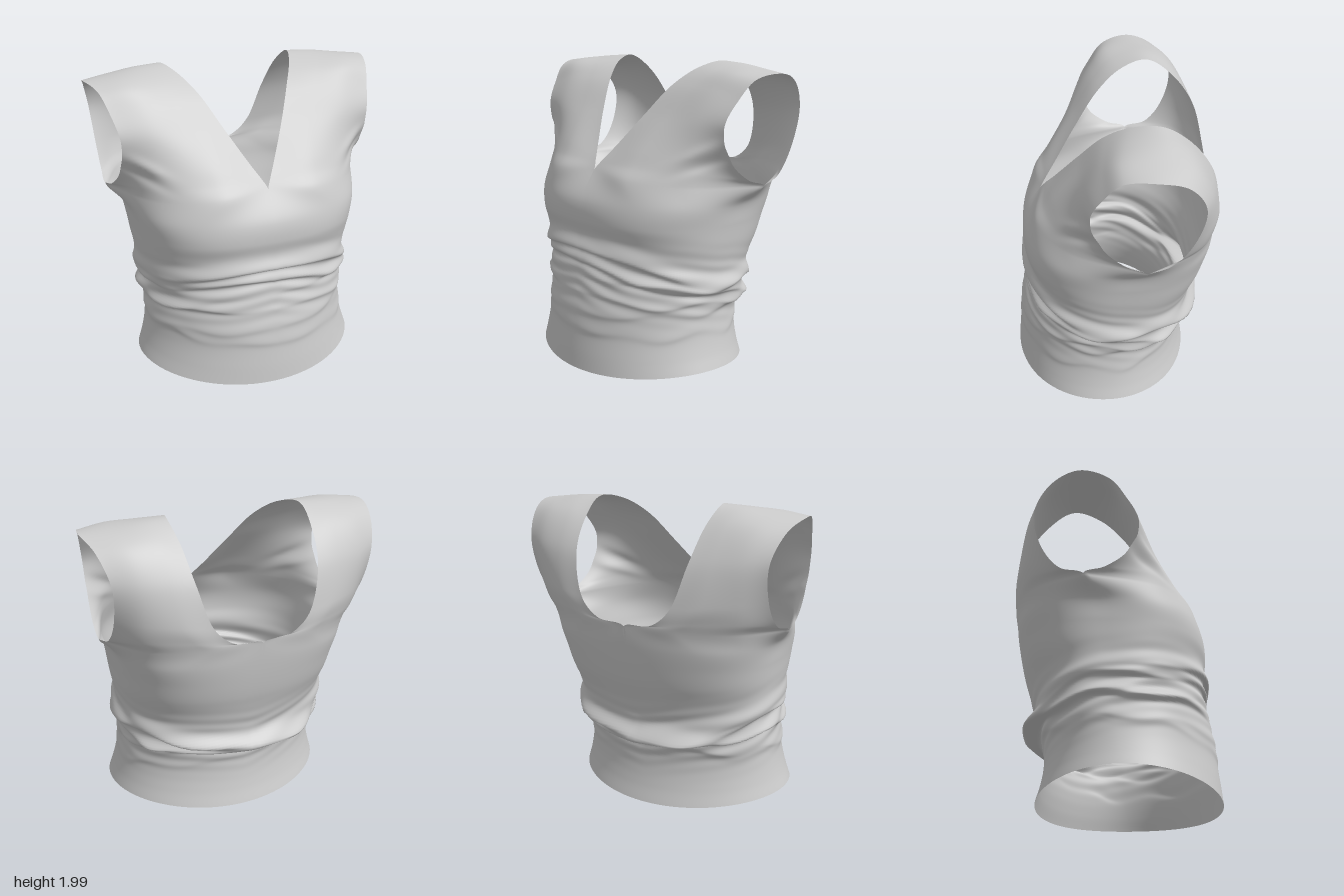
import * as THREE from 'three';
import { mergeGeometries, mergeVertices } from 'three/addons/utils/BufferGeometryUtils.js';

const V = (x, y, z) => new THREE.Vector3(x, y, z);
const NU = 48; // columns from centre line to armhole

// Strip that wraps over the shoulder, from front chest to back.
// Each row runs neckline -> armhole edge (x, y, z four times).
const STRAP = [
  [0, 1.31, .47, .35, 1.29, .50, .67, 1.27, .31, .89, 1.25, -.17],
  [.03, 1.37, .43, .35, 1.37, .44, .66, 1.36, .30, .88, 1.30, -.04],
  [.08, 1.45, .37, .36, 1.46, .38, .65, 1.46, .28, .86, 1.42, .10],
  [.20, 1.66, .22, .42, 1.66, .23, .65, 1.66, .22, .86, 1.64, .175],
  [.31, 1.86, .06, .50, 1.86, .08, .70, 1.85, .10, .90, 1.81, .09],
  [.40, 1.97, -.10, .58, 1.96, -.05, .77, 1.95, -.01, .94, 1.92, -.01],
  [.46, 2.00, -.28, .63, 1.99, -.27, .80, 1.97, -.24, .99, 1.95, -.20],
  [.45, 1.89, -.45, .60, 1.91, -.44, .77, 1.90, -.43, .95, 1.88, -.38],
  [.42, 1.68, -.60, .58, 1.70, -.58, .75, 1.70, -.55, .90, 1.70, -.49],
  [.33, 1.40, -.67, .53, 1.43, -.64, .73, 1.45, -.56, .88, 1.46, -.44],
  [.20, 1.29, -.68, .45, 1.32, -.65, .72, 1.33, -.53, .88, 1.30, -.32],
  [0, 1.26, -.68, .38, 1.26, -.655, .69, 1.26, -.51, .89, 1.25, -.17],
];
// Torso rings: height, half width, front z, back z, front and back squareness
const RINGS = [
  [.01, .77, .68, -.53, 2, 2],
  [.12, .74, .67, -.50, 2, 2],
  [.25, .715, .655, -.48, 2, 2],
  [.40, .70, .64, -.485, 2.05, 2.05],
  [.52, .70, .62, -.52, 2.1, 2.1],
  [.64, .71, .595, -.555, 2.2, 2.2],
  [.76, .725, .575, -.585, 2.3, 2.3],
  [.88, .745, .575, -.62, 2.5, 2.5],
  [1.0, .76, .60, -.645, 2.6, 2.65],
  [1.13, .785, .585, -.665, 2.6, 2.8],
];
// Waist folds: height, drop from front to back, sideways tilt, front and back depth, thickness
const FOLDS = [
  [.68, .16, -.03, .045, .035, .05],
  [.61, .13, -.05, .030, .035, .04],
  [.59, .05, .04, .014, .045, .04],
  [.52, .02, -.02, .012, .045, .04],
  [.43, -.02, .03, .010, .014, .05],
  [.34, -.04, -.03, .008, .006, .05],
];

const rowCurves = STRAP.map(r => new THREE.CatmullRomCurve3(
  [0, 3, 6, 9].map(i => V(r[i], r[i + 1], r[i + 2]))));
const LAST = STRAP.length - 1;

// Point of torso ring k at angle a (0 = centre front, PI = centre back)
function ringPoint(k, a) {
  const [y, hw, zf, zb, nf, nb] = RINGS[k];
  const c = Math.cos(a), s = Math.max(Math.sin(a), 0);
  const e = 2 / (c > 0 ? nf : nb), zc = .06 - .015 * k;
  const lift = k < 3 ? .055 * s * s * (1 - k / 3) : 0;
  return V(hw * s ** e, y + lift, zc + ((c > 0 ? zf : zb) - zc) * Math.abs(c) ** e);
}

function grid(cols, rows, column, flip) {
  const pos = [], idx = [];
  for (let i = 0; i <= cols; i++) {
    const at = column(i / cols);
    for (let j = 0; j <= rows; j++) pos.push(...at(j / rows).toArray());
  }
  for (let i = 0; i < cols; i++) for (let j = 0; j < rows; j++) {
    const a = i * (rows + 1) + j, b = a + rows + 1;
    if (flip) idx.push(a, b + 1, b, a, a + 1, b + 1);
    else idx.push(a, b, b + 1, a, b + 1, a + 1);
  }
  const g = new THREE.BufferGeometry();
  g.setAttribute('position', new THREE.Float32BufferAttribute(pos, 3));
  g.setIndex(idx);
  return g;
}

// Half of the torso tube, from centre front round to centre back
function torsoHalf(side) {
  return grid(2 * NU, 120, w => {
    const a = w * Math.PI, c = Math.cos(a), s = Math.sin(a);
    const front = w <= .5, u = front ? 2 * w : 2 - 2 * w;
    const pts = RINGS.map((_, k) => ringPoint(k, a));
    // end on the strap's edge row, heading towards its next row
    const near = rowCurves[front ? 1 : LAST - 1].getPoint(u);
    const far = rowCurves[front ? LAST - 1 : 1].getPoint(u);
    pts.push(rowCurves[front ? 0 : LAST].getPoint(u), near.lerp(far, .5 * u ** 8));
    const curve = new THREE.CatmullRomCurve3(pts);
    const end = (pts.length - 2) / (pts.length - 1);
    const arch = c * Math.abs(c);
    return v => {
      const p = curve.getPoint(v * end), sx = s * side;
      let d = 0, sag = 0;
      FOLDS.forEach(([y, drop, tilt, df, db, thick], k) => {
        // each fold bulges softly above and tucks in sharply below
        const wave = .022 * Math.sin(a * side * (3 + k) + k * 2) * s;
        const dy = p.y - (y + drop * arch + tilt * sx + wave);
        const f = Math.exp(-((dy / (dy > 0 ? thick : thick * .6)) ** 2));
        const depth = THREE.MathUtils.lerp(db, df, (c + 1) / 2);
        const amp = depth * (.75 + .25 * Math.cos(a * (2 + k) + k));
        d += f * amp;
        sag += f * amp * .5;
      });
      // fine wrinkles through the gathered band
      const band = Math.exp(-(((p.y - .58 - .08 * c) / .16) ** 2));
      d += band * .006 * Math.sin(p.y * 75 - 12 * arch + 4 * sx + 2 * Math.sin(4 * a));
      return V(p.x + s * d, p.y - sag, p.z + c * d);
    };
  }, side < 0);
}

// Front panel, shoulder and back panel of one side
function strapHalf(side) {
  return grid(NU, 110, u => {
    const pts = rowCurves.map(r => r.getPoint(u));
    // start and finish in line with the torso below
    const k = RINGS.length - 1, a = u * Math.PI / 2;
    pts.unshift(ringPoint(k, a));
    pts.push(ringPoint(k, Math.PI - a));
    const curve = new THREE.CatmullRomCurve3(pts);
    const n = pts.length - 1;
    return t => {
      const p = curve.getPoint((1 + t * (n - 2)) / n);
      if (t < .4) { // pull creases running into the front of the armhole
        const m = Math.exp(-(((p.x - .73) / .11) ** 2));
        const l = p.y - 1.47 - .45 * (p.x - .7);
        p.z += m * (.018 * Math.exp(-((l / .04) ** 2)) - .014 * Math.exp(-(((l + .08) / .035) ** 2)));
      }
      return p;
    };
  }, side < 0);
}

export function createModel() {
  const parts = [];
  for (const side of [1, -1]) {
    for (const g of [torsoHalf(side), strapHalf(side)]) {
      if (side < 0) g.scale(-1, 1, 1);
      parts.push(g);
    }
  }
  // Weld the panels so shading runs smoothly across the seams
  const geometry = mergeVertices(mergeGeometries(parts), 1e-4);
  geometry.computeVertexNormals();
  const top = new THREE.Mesh(geometry, new THREE.MeshStandardMaterial({ color: 0xcccccc, side: THREE.DoubleSide }));
  top.name = 'sleevelessTop';
  const group = new THREE.Group();
  group.name = 'garment';
  group.add(top);
  return group;
}
